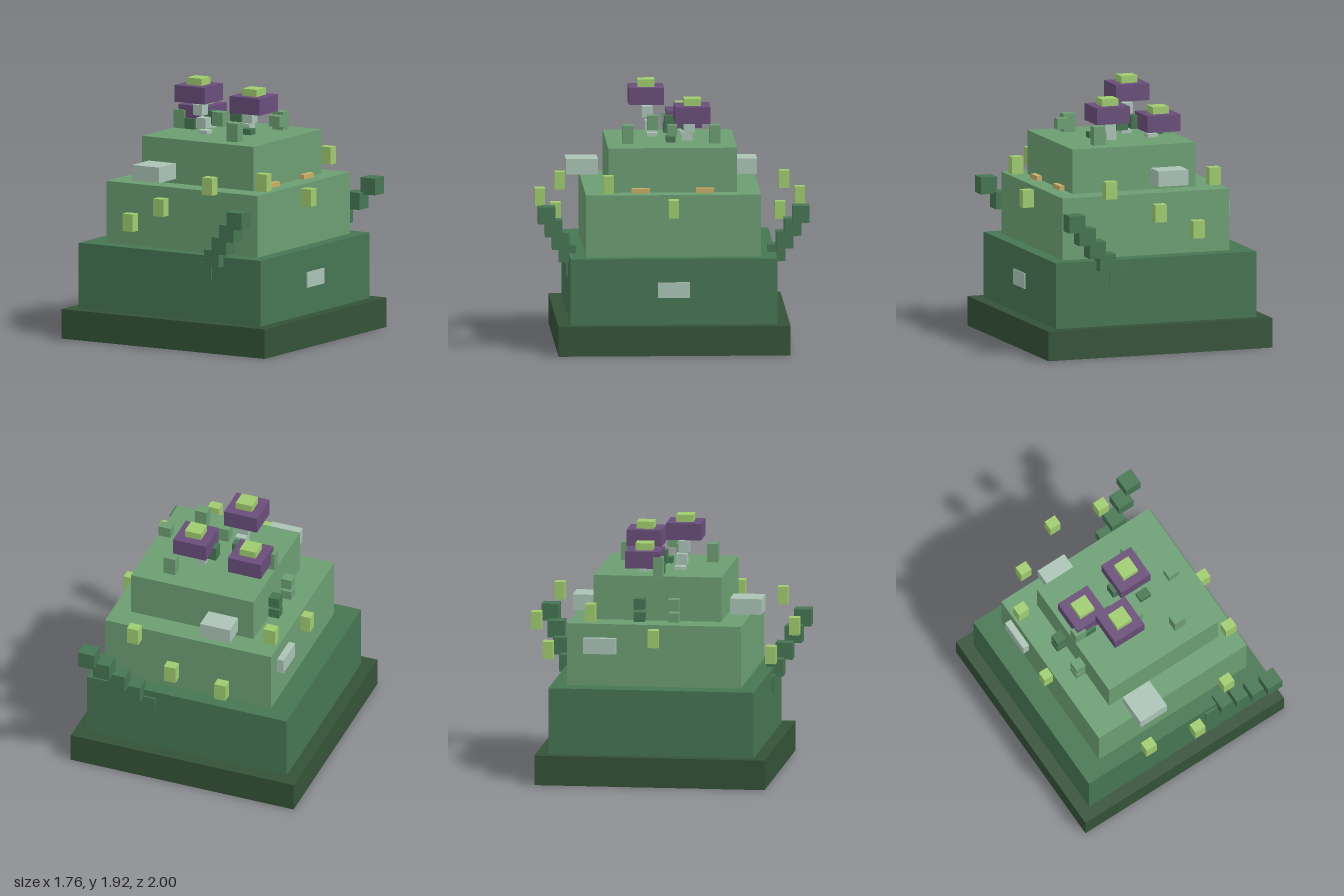
import * as THREE from 'three';

const mat = (name, color) => new THREE.MeshStandardMaterial({ name, color });

export function createModel() {
  const root = new THREE.Group();
  root.name = 'steppedMossMound';
  const deep = mat('deepGreen', 0x345238);
  const dark = mat('darkGreen', 0x467552);
  const mid = mat('mossGreen', 0x6c9e72);
  const lime = mat('limeGreen', 0x9fcb6e);
  const purple = mat('purple', 0x694d79);
  const stone = mat('paleStone', 0xaac3b5);
  const amber = mat('amber', 0xc9ad66);

  // block from its centre and size
  const block = (name, material, [x, y, z], [w, h, d], parent = root) => {
    const m = new THREE.Mesh(new THREE.BoxGeometry(w, h, d), material);
    m.name = name;
    m.position.set(x, y, z);
    parent.add(m);
    return m;
  };

  // four stacked tiers
  block('baseTier', deep, [0, 0.11, 0], [1.76, 0.22, 1.71]);
  block('lowerTier', dark, [0, 0.465, 0], [1.575, 0.49, 1.525]);
  block('middleTier', mid, [0.035, 0.94, 0], [1.31, 0.46, 1.29]);
  block('upperTier', mid, [0.067, 1.335, 0], [0.965, 0.33, 0.95]);

  // mushrooms: cap, cap knob and leaning stem cubes
  const mushrooms = [
    { cap: [-0.115, 1.807, 0.17], stem: [[-0.085, 1.485, 0.125], [-0.09, 1.58, 0.14], [-0.105, 1.68, 0.16]] },
    { cap: [0.16, 1.702, -0.16], stem: [[0.127, 1.52, -0.122], [0.14, 1.602, -0.14]] },
    { cap: [-0.255, 1.612, -0.115], stem: [[-0.2, 1.487, -0.12]] },
  ];
  for (const { cap: [x, y, z], stem } of mushrooms) {
    const g = new THREE.Group();
    g.name = 'mushroom';
    root.add(g);
    block('mushroomCap', purple, [x, y, z], [0.26, 0.125, 0.26], g);
    block('capKnob', lime, [x, y + 0.089, z], [0.127, 0.053, 0.127], g);
    for (const p of stem) block('stemCube', stone, p, [0.08, 0.08, 0.08], g);
  }

  // climbing arms and paired side details, mirrored front to back
  for (const s of [1, -1]) {
    for (let i = 0; i < 5; i++) {
      block('armCube', dark, [0.305 + 0.1 * i, 0.595 + 0.109 * i, s * (0.715 + 0.0555 * i)], [0.126, 0.126, 0.126]);
    }
    for (const [x, y, z] of [[0.388, 1.245, 0.828], [0.045, 1.075, 0.958], [-0.3, 0.915, 0.828]]) {
      block('floatingBud', lime, [x, y, s * z], [0.09, 0.13, 0.076]);
    }
    block('topPost', mid, [0.292, 1.568, s * 0.32], [0.092, 0.137, 0.08]);
    block('amberSlab', amber, [0.565, 1.187, s * 0.237], [0.05, 0.035, 0.135]);
    for (const y of [1.2, 1.3]) {
      block('sideCube', s > 0 ? mid : dark, [-0.457, y, s * 0.127], [0.08, 0.08, 0.08]);
    }
    block('crownCube', s > 0 ? mid : dark, [0.045, 1.62, s * 0.127], [0.093, 0.105, 0.08]);
  }

  // remaining buds
  for (const [x, y, z] of [[-0.65, 1.075, 0], [0.732, 1.075, 0], [-0.555, 1.245, -0.478], [0.64, 1.245, 0.478]]) {
    block('sideBud', lime, [x, y, z], [0.09, 0.13, 0.076]);
  }

  // ridge along the top
  block('ridgeCube', dark, [-0.28, 1.535, 0], [0.09, 0.09, 0.07]);
  block('ridgeCube', dark, [-0.122, 1.6, 0], [0.092, 0.1, 0.07]);
  block('ridgeCube', dark, [0.207, 1.505, 0], [0.092, 0.075, 0.07]);
  block('ridgeCube', mid, [0.457, 1.62, 0], [0.094, 0.08, 0.07]);
  block('ridgePost', mid, [-0.368, 1.568, 0], [0.092, 0.137, 0.07]);

  // pale stones
  block('frontStone', stone, [-0.21, 1.272, 0.642], [0.235, 0.116, 0.235]);
  block('backStone', stone, [-0.178, 1.272, -0.53], [0.235, 0.116, 0.235]);
  block('leftWallStone', stone, [-0.625, 1.01, -0.4], [0.09, 0.116, 0.24]);
  block('rightWallStone', stone, [0.76, 0.478, 0], [0.07, 0.116, 0.237]);

  return root;
}
